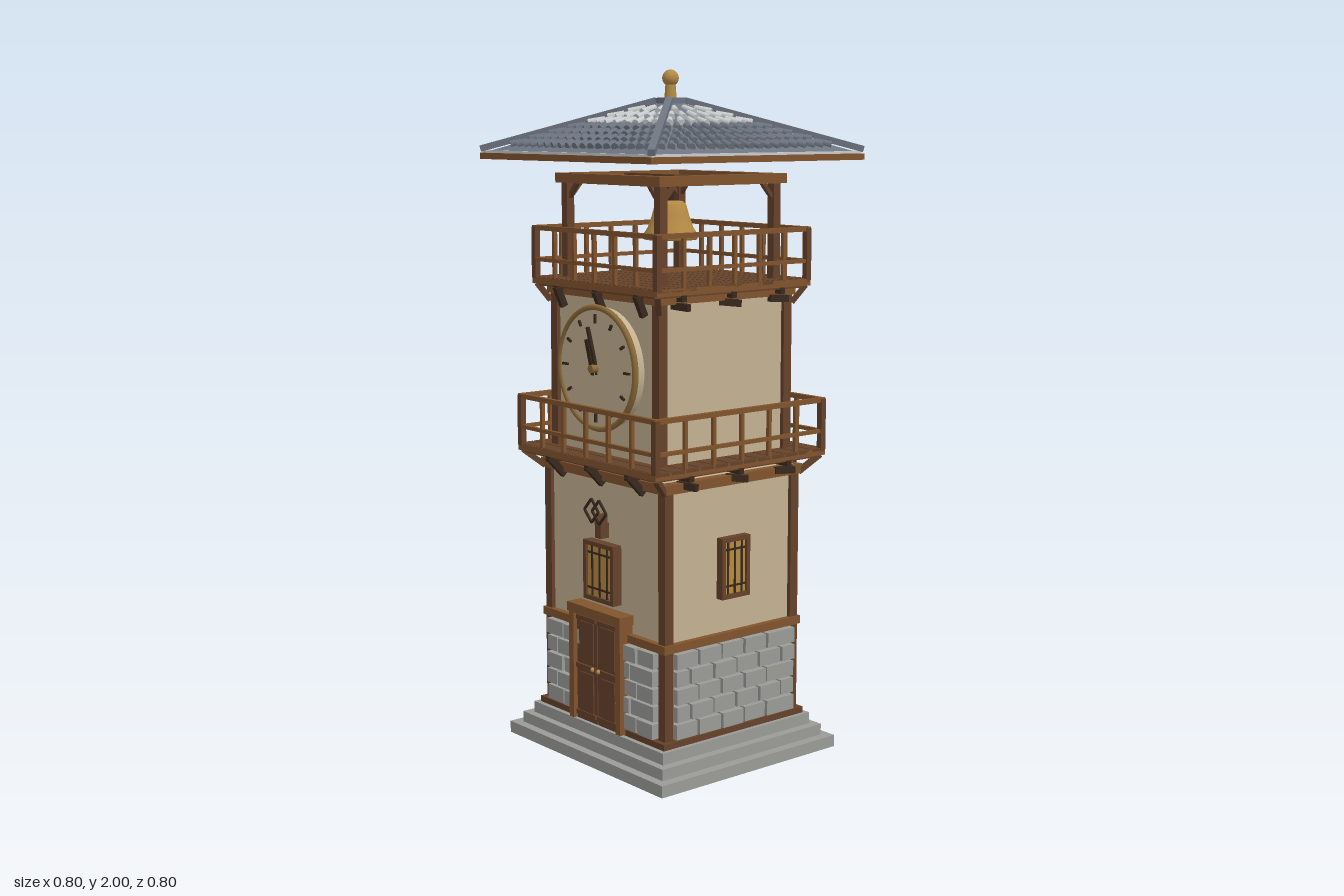
import * as THREE from 'three';

const mat = (name, color) => {
  const m = new THREE.MeshStandardMaterial({ color });
  m.name = name;
  return m;
};

export function createModel() {
  const M = {
    wood: mat('warm wood', 0x80542c), dark: mat('dark wood', 0x64412a), black: mat('blackened wood', 0x38291d),
    plaster: mat('plaster', 0xc3b192), stone: mat('stone', 0x9a9a97), mortar: mat('mortar', 0x6c6a66),
    slate: mat('slate', 0x6d7480), pale: mat('pale tile', 0xc9cdce), gold: mat('brass', 0xb58a45), ring: mat('clock bronze', 0x8a6a38),
  };
  M.slate.side = THREE.DoubleSide;
  const root = new THREE.Group();
  root.name = 'bellTower';

  const group = (name, parent = root) => {
    const g = new THREE.Group();
    g.name = name;
    parent.add(g);
    return g;
  };
  const add = (p, name, geo, m, x = 0, y = 0, z = 0) => {
    const o = new THREE.Mesh(geo, m);
    o.name = name;
    o.position.set(x, y, z);
    p.add(o);
    return o;
  };
  const box = (p, name, m, w, h, d, x, y, z) => add(p, name, new THREE.BoxGeometry(w, h, d), m, x, y, z);
  // Bar running between two points
  const bar = (p, name, m, a, b, w, h = w) => {
    const A = new THREE.Vector3(...a), B = new THREE.Vector3(...b);
    const o = add(p, name, new THREE.BoxGeometry(w, h, A.distanceTo(B)), m);
    o.position.copy(A).add(B).multiplyScalar(0.5);
    o.lookAt(B);
    return o;
  };
  // Rectangular ring of four beams whose outer half sizes are hx, hz
  const frame = (p, name, m, hx, hz, y, h, t) => {
    for (const s of [-1, 1]) {
      box(p, name, m, hx * 2, h, t, 0, y, s * (hz - t / 2));
      box(p, name, m, t, h, (hz - t) * 2, s * (hx - t / 2), y, 0);
    }
  };
  const corners = (fn) => [-1, 1].forEach((sx) => [-1, 1].forEach((sz) => fn(sx, sz)));
  // Calls fn for each side with a group turned so the side faces +z, its half width and its depth
  const sides = (parent, name, hx, hz, fn) => {
    for (let i = 0; i < 4; i++) {
      const g = group(name, parent);
      g.rotation.y = i * Math.PI / 2;
      fn(g, i % 2 ? hz : hx, i % 2 ? hx : hz, i);
    }
  };

  // Stepped plinth
  [[0.365, 0.335, 0, 0.035], [0.335, 0.308, 0.035, 0.068], [0.308, 0.285, 0.068, 0.102]].forEach(([x, z, a, b]) =>
    box(root, 'plinthStep', M.stone, x * 2, b - a, z * 2, 0, (a + b) / 2, 0));

  // Stone storey with staggered blocks
  const base = group('stoneStorey');
  box(base, 'stoneCore', M.mortar, 0.54, 0.28, 0.49, 0, 0.24, 0);
  frame(base, 'bottomSill', M.dark, 0.295, 0.27, 0.111, 0.018, 0.03);
  sides(base, 'stoneFace', 0.255, 0.23, (g, half, depth, side) => {
    const d = depth + 0.03;
    for (let r = 0; r < 5; r++) {
      const cuts = [-half];
      for (let x = -half + (r % 2 ? 0.055 : 0.085); x < half - 0.03; x += 0.087) cuts.push(x);
      cuts.push(half);
      for (let i = 0; i < cuts.length - 1; i++) {
        const a = cuts[i], b = cuts[i + 1], c = (a + b) / 2;
        if (side === 0 && Math.abs(c) < 0.1) continue;
        box(g, 'stoneBlock', M.stone, b - a - 0.008, 0.044, 0.035, c, 0.147 + r * 0.0515, d - 0.004 + ((i + r) % 3) * 0.002);
      }
    }
  });

  // Plastered storeys
  const storey = (name, hx, hz, y0, y1, postY) => {
    const g = group(name);
    box(g, 'plasterWall', M.plaster, (hx - 0.012) * 2, y1 - y0, (hz - 0.012) * 2, 0, (y0 + y1) / 2, 0);
    corners((sx, sz) => box(g, 'cornerPost', M.dark, 0.03, y1 - postY, 0.03, sx * (hx - 0.015), (y1 + postY) / 2, sz * (hz - 0.015)));
    frame(g, 'topBeam', M.wood, hx + 0.008, hz + 0.008, y1 - 0.014, 0.028, 0.03);
    return g;
  };
  const lower = storey('lowerStorey', 0.282, 0.255, 0.38, 0.862, 0.1);
  frame(lower, 'wallSill', M.wood, 0.288, 0.262, 0.39, 0.024, 0.03);
  storey('upperStorey', 0.25, 0.25, 0.89, 1.385, 0.89);

  // Balconies with planks, brackets and railings
  const balcony = (name, hx, hz, y, wx, wz, mid) => {
    const g = group(name);
    box(g, 'deck', M.dark, hx * 2 - 0.02, 0.016, hz * 2 - 0.02, 0, y - 0.014, 0);
    for (let i = 0; i < 12; i++)
      box(g, 'plank', M.dark, hx * 2, 0.01, hz / 6 - 0.005, 0, y, -hz + (i + 0.5) * hz / 6);
    frame(g, 'deckRim', M.wood, hx, hz, y - 0.006, 0.02, 0.016);
    corners((sx, sz) => bar(g, 'cornerStrut', M.dark, [sx * wx, y - 0.065, sz * wz], [sx * (hx - 0.01), y - 0.015, sz * (hz - 0.01)], 0.016));
    sides(g, 'balconySide', hx, hz, (s, half, depth, side) => {
      const wall = side % 2 ? wx : wz;
      for (const x of [-0.185, 0, 0.185]) {
        bar(s, 'bracket', M.black, [x, y - 0.078, wall], [x, y - 0.02, depth - 0.012], 0.016, 0.02);
        box(s, 'joist', M.black, 0.018, 0.02, depth - wall + 0.01, x, y - 0.025, (depth + wall) / 2 - 0.012);
      }
      for (const [ry, t] of [[y + 0.147, 0.014], [y + mid, 0.011]])
        box(s, 'rail', M.wood, half * 2, t, t, 0, ry, depth - 0.008);
      for (let i = 0; i < 6; i++)
        box(s, 'railPost', i ? M.wood : M.dark, i ? 0.011 : 0.018, 0.15, i ? 0.011 : 0.018, -half + 0.008 + i * (half - 0.008) / 3, y + 0.075, depth - 0.008);
    });
  };
  balcony('lowerBalcony', 0.322, 0.322, 0.902, 0.28, 0.255, 0.055);
  balcony('upperBalcony', 0.288, 0.288, 1.4, 0.25, 0.25, 0.055);

  // Double door
  const door = group('door');
  for (const s of [-1, 1]) {
    box(door, 'doorJamb', M.wood, 0.022, 0.33, 0.05, s * 0.11, 0.27, 0.265);
    box(door, 'doorLeaf', M.dark, 0.096, 0.322, 0.03, s * 0.05, 0.265, 0.262);
    for (const y of [0.19, 0.345]) box(door, 'doorPanel', M.wood, 0.066, 0.12, 0.006, s * 0.05, y, 0.278).material = M.dark;
    for (const y of [0.125, 0.268, 0.415]) box(door, 'doorBatten', M.dark, 0.09, 0.014, 0.008, s * 0.05, y, 0.28);
    add(door, 'doorHandle', new THREE.SphereGeometry(0.007, 10, 8), M.gold, s * 0.014, 0.27, 0.285);
  }
  box(door, 'doorGap', M.black, 0.005, 0.322, 0.03, 0, 0.265, 0.258);
  box(door, 'lintel', M.wood, 0.25, 0.028, 0.056, 0, 0.442, 0.265);

  // Latticed windows
  const windowAt = (name, w, h) => {
    const g = group(name);
    box(g, 'windowPane', M.gold, w, h, 0.02, 0, 0, 0);
    for (const s of [-1, 1]) {
      box(g, 'windowFrame', M.dark, 0.013, h, 0.036, s * (w / 2 - 0.006), 0, 0);
      box(g, 'windowFrame', M.dark, w, 0.013, 0.036, 0, s * (h / 2 - 0.006), 0);
      box(g, 'windowBar', M.black, w, 0.006, 0.024, 0, s * h * 0.3, 0);
    }
    for (const x of [-0.25, 0, 0.25]) box(g, 'windowBar', M.black, 0.006, h, 0.026, x * w, 0, 0);
    return g;
  };
  windowAt('frontWindow', 0.14, 0.175).position.set(0, 0.563, 0.256);
  const sideWindow = windowAt('sideWindow', 0.105, 0.178);
  sideWindow.position.set(0.277, 0.592, 0);
  sideWindow.rotation.y = Math.PI / 2;

  // Lattice ornament above the front window
  const ornament = group('ornament');
  for (const s of [-1, 1]) {
    const pts = [[0, 0.035], [0.033, 0], [0, -0.035], [-0.033, 0]].map(([x, y]) => [x + s * 0.018, y + 0.745, 0.282]);
    pts.forEach((p, i) => bar(ornament, 'diamondBar', M.black, p, pts[(i + 1) % 4], 0.006));
  }
  box(ornament, 'ornamentStem', M.dark, 0.026, 0.045, 0.03, 0, 0.687, 0.258);
  box(ornament, 'ornamentBacking', M.dark, 0.012, 0.03, 0.04, 0, 0.72, 0.26);

  // Clock
  const clock = group('clock');
  clock.position.set(0, 1.16, 0.262);
  add(clock, 'clockFace', new THREE.CylinderGeometry(0.172, 0.172, 0.05, 48).rotateX(Math.PI / 2), M.plaster, 0, 0, -0.012);
  add(clock, 'clockRim', new THREE.TorusGeometry(0.174, 0.009, 8, 64), M.ring, 0, 0, 0.01);
  for (let i = 0; i < 12; i++) {
    const a = i * Math.PI / 6;
    box(clock, 'hourMark', M.black, 0.007, i % 3 ? 0.018 : 0.026, 0.006, Math.sin(a) * 0.142, Math.cos(a) * 0.142, 0.016).rotation.z = -a;
  }
  bar(clock, 'minuteHand', M.black, [0, -0.02, 0.026], [0, 0.122, 0.026], 0.009, 0.009);
  bar(clock, 'hourHand', M.black, [0.008, -0.016, 0.022], [-0.042, 0.078, 0.022], 0.013, 0.008);
  add(clock, 'clockHub', new THREE.CylinderGeometry(0.012, 0.012, 0.025, 16).rotateX(Math.PI / 2), M.ring, 0, 0, 0.022);

  // Open belfry and bell
  const belfry = group('belfry');
  corners((sx, sz) => {
    box(belfry, 'belfryPost', M.dark, 0.026, 0.29, 0.026, sx * 0.212, 1.545, sz * 0.212);
    bar(belfry, 'kneeBrace', M.dark, [sx * 0.205, 1.635, sz * 0.212], [sx * 0.165, 1.68, sz * 0.212], 0.012);
    bar(belfry, 'kneeBrace', M.dark, [sx * 0.212, 1.635, sz * 0.205], [sx * 0.212, 1.68, sz * 0.165], 0.012);
  });
  frame(belfry, 'belfryBeam', M.wood, 0.238, 0.238, 1.692, 0.028, 0.04);
  box(belfry, 'bellBeam', M.dark, 0.42, 0.024, 0.03, 0, 1.69, 0);
  add(belfry, 'bellHanger', new THREE.CylinderGeometry(0.01, 0.01, 0.07, 10), M.black, 0, 1.65, 0);
  box(belfry, 'bellYoke', M.black, 0.04, 0.014, 0.024, 0, 1.672, 0);
  const bellProfile = [[0, 1.53], [0.062, 1.518], [0.078, 1.515], [0.08, 1.528], [0.066, 1.55], [0.054, 1.585], [0.046, 1.615], [0.036, 1.625], [0, 1.627]];
  add(belfry, 'bell', new THREE.LatheGeometry(bellProfile.map(([x, y]) => new THREE.Vector2(x, y)), 28), M.gold);

  // Pyramid roof
  const roof = group('roof');
  const roofY = (r) => 1.766 + (0.38 - r) * 0.39;
  const slab = new THREE.CylinderGeometry(0.02 * Math.SQRT2, 0.38 * Math.SQRT2, roofY(0.02) - roofY(0.38), 4, 1, true).rotateY(Math.PI / 4).toNonIndexed();
  slab.computeVertexNormals();
  add(roof, 'roofSlab', slab, M.slate, 0, (roofY(0.02) + roofY(0.38)) / 2, 0);
  frame(roof, 'fascia', M.wood, 0.394, 0.394, 1.754, 0.018, 0.014);
  frame(roof, 'eaveStrip', M.pale, 0.388, 0.388, 1.766, 0.008, 0.012);
  corners((sx, sz) => {
    bar(roof, 'hipRidge', M.slate, [sx * 0.03, roofY(0.03) + 0.01, sz * 0.03], [sx * 0.392, 1.775, sz * 0.392], 0.02, 0.018);
    bar(roof, 'hipRafter', M.dark, [sx * 0.03, roofY(0.03) - 0.02, sz * 0.03], [sx * 0.38, 1.752, sz * 0.38], 0.014);
  });

  // Rows of fanning half-round tiles, the top rows pale
  const tile = new THREE.CylinderGeometry(0.0115, 0.0085, 0.05, 8).rotateX(Math.PI / 2);
  sides(roof, 'tiledSlope', 1, 1, (g) => {
    for (let k = 0; k < 7; k++) {
      const r = 0.06 + k * 0.04, n = 3 + Math.round(k * 2.6);
      for (let i = 0; i < n; i++) {
        const u = ((i + 0.5) / n * 2 - 1) * 0.98, r1 = r + 0.042;
        const o = add(g, 'roofTile', tile, k < 3 ? M.pale : M.slate);
        const A = new THREE.Vector3(u * r, roofY(r) + 0.001, r), B = new THREE.Vector3(u * r1, roofY(r1) + 0.005, r1);
        o.position.copy(A).add(B).multiplyScalar(0.5);
        const q = new THREE.Object3D();
        q.position.copy(o.position);
        q.lookAt(B);
        o.quaternion.copy(q.quaternion);
      }
    }
  });

  // Finial
  box(roof, 'roofCap', M.slate, 0.07, 0.016, 0.07, 0, 1.912, 0);
  add(roof, 'finialStem', new THREE.CylinderGeometry(0.014, 0.018, 0.055, 16), M.gold, 0, 1.942, 0);
  add(roof, 'finialBall', new THREE.SphereGeometry(0.024, 20, 14), M.gold, 0, 1.976, 0);
  return root;
}
